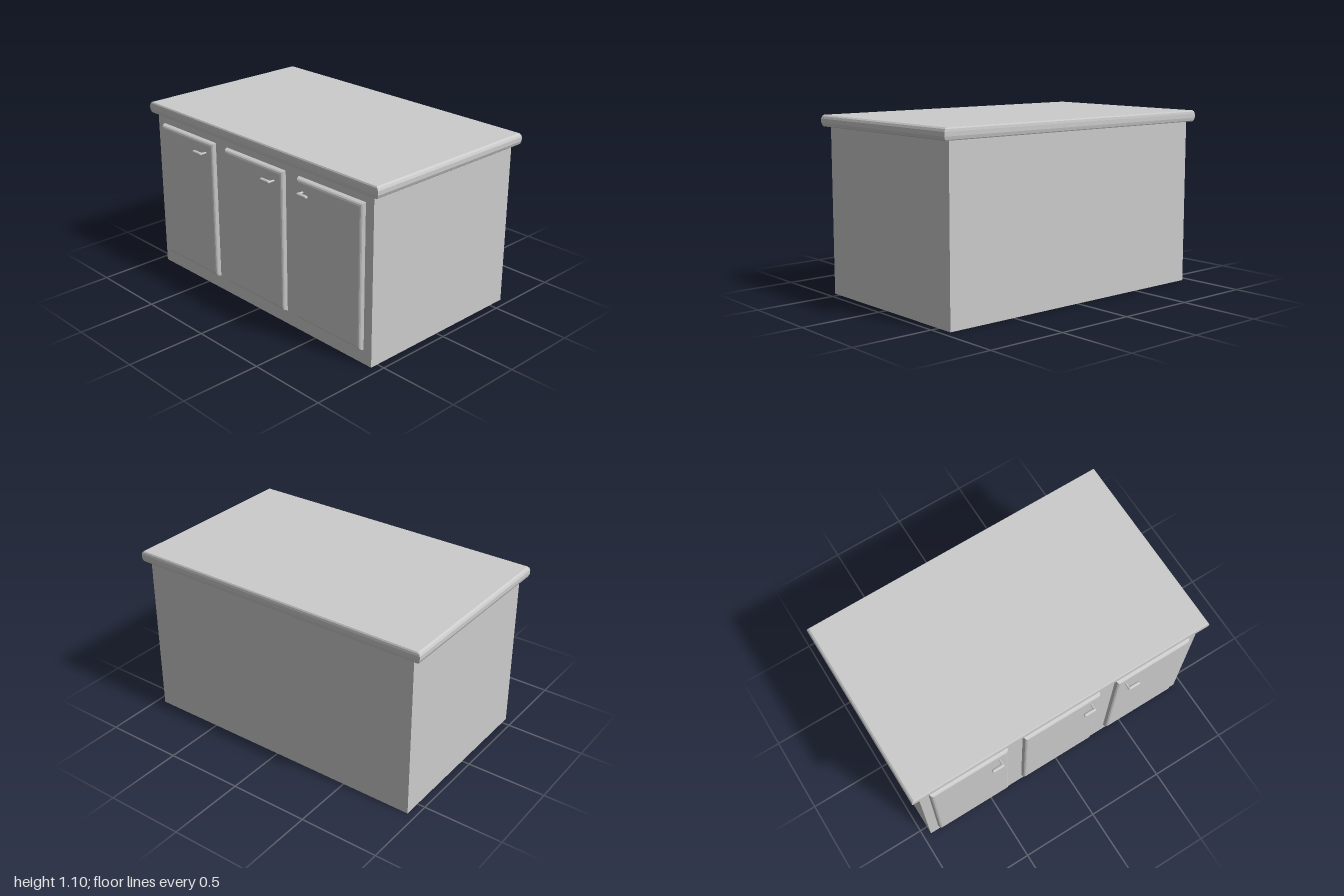
import * as THREE from 'three';

const material = new THREE.MeshStandardMaterial({ color: 0xcccccc });

// Closed stack of rectangles; each level is [height, xInset, zInset]
function stackedRects(x0, x1, z0, z1, levels) {
  const rings = levels.map(([h, ix, iz]) => [
    [x0 + ix, h, z1 - iz], [x1 - ix, h, z1 - iz],
    [x1 - ix, h, z0 + iz], [x0 + ix, h, z0 + iz],
  ]);
  const pos = [];
  const quad = (a, b, c, d) => pos.push(...a, ...b, ...c, ...a, ...c, ...d);
  for (let i = 0; i < rings.length - 1; i++) {
    for (let k = 0; k < 4; k++) {
      const n = (k + 1) % 4;
      quad(rings[i][k], rings[i][n], rings[i + 1][n], rings[i + 1][k]);
    }
  }
  const first = rings[0], last = rings[rings.length - 1];
  quad(first[3], first[2], first[1], first[0]);
  quad(last[0], last[1], last[2], last[3]);
  const geo = new THREE.BufferGeometry();
  geo.setAttribute('position', new THREE.Float32BufferAttribute(pos, 3));
  geo.computeVertexNormals();
  return geo;
}

function addMesh(parent, name, geometry) {
  const mesh = new THREE.Mesh(geometry, material);
  mesh.name = name;
  parent.add(mesh);
  return mesh;
}

// L-shaped handle: a post out of the door and a rounded bar to one side
function makeHandle(dir) {
  const handle = new THREE.Group();
  handle.name = 'handle';
  const post = addMesh(handle, 'handlePost', new THREE.CylinderGeometry(0.008, 0.005, 0.05, 10));
  post.rotation.x = Math.PI / 2;
  post.position.z = 0.02;
  const bar = addMesh(handle, 'handleBar', new THREE.CapsuleGeometry(0.011, 0.06, 5, 12));
  bar.rotation.z = Math.PI / 2;
  bar.position.set(dir * 0.034, 0, 0.042);
  return handle;
}

export function createModel() {
  const model = new THREE.Group();
  model.name = 'cabinet';

  // Plain box carcass
  const body = addMesh(model, 'body', new THREE.BoxGeometry(1.9, 1.035, 1.155));
  body.position.set(0, 0.5175, -0.0275);

  // Overhanging worktop with a bevelled edge
  addMesh(model, 'worktop', stackedRects(-1, 1, -0.633, 0.577, [
    [1.03, 0.014, 0.007], [1.035, 0.007, 0.004], [1.053, 0, 0],
    [1.078, 0, 0], [1.092, 0.006, 0.002], [1.1, 0.016, 0.007],
  ]));

  // Three bevelled doors: [left edge, right edge, post x, bar direction]
  const doors = [
    [-0.89, -0.37, -0.437, -1],
    [-0.265, 0.26, 0.19, -1],
    [0.37, 0.89, 0.432, 1],
  ];
  for (const [x0, x1, postX, dir] of doors) {
    const geo = stackedRects(x0, x1, -0.978, -0.088, [
      [0.54, 0, 0], [0.55, 0, 0], [0.569, 0.006, 0.007],
      [0.575, 0.012, 0.014], [0.578, 0.02, 0.024],
    ]);
    geo.rotateX(Math.PI / 2);
    addMesh(model, 'door', geo);
    const handle = makeHandle(dir);
    handle.position.set(postX, 0.905, 0.575);
    model.add(handle);
  }
  return model;
}
